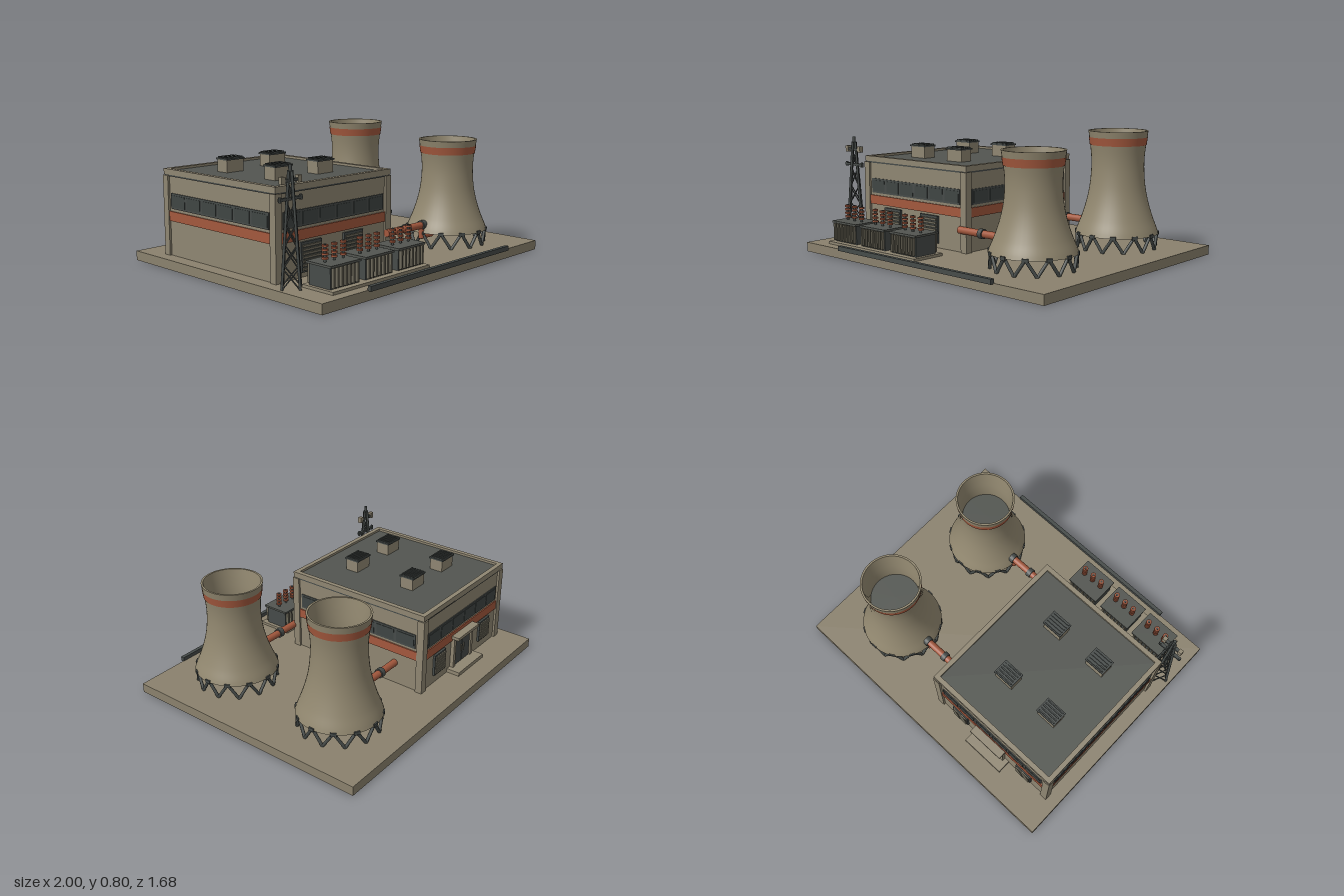
import * as THREE from 'three';

const mat = (name, color, side = THREE.FrontSide) => {
  const m = new THREE.MeshStandardMaterial({ color, side });
  m.name = name;
  return m;
};

export function createModel() {
  const ground = mat('ground concrete', 0x8a816d);
  const concrete = mat('wall concrete', 0x8f8672);
  const shellMat = mat('tower concrete', 0x91876f, THREE.DoubleSide);
  const roofMat = mat('roof grey', 0x525550);
  const steel = mat('dark steel', 0x464b49);
  const glass = mat('window glass', 0x3f4543);
  const rust = mat('rust orange', 0xa3583d, THREE.DoubleSide);
  const louvreMat = mat('louvre grey', 0x6c6859);

  const root = new THREE.Group();
  root.name = 'powerStation';
  const group = (name, parent = root, x = 0, y = 0, z = 0) => {
    const g = new THREE.Group();
    g.name = name;
    g.position.set(x, y, z);
    parent.add(g);
    return g;
  };
  const add = (name, geo, m, parent) => {
    const mesh = new THREE.Mesh(geo, m);
    mesh.name = name;
    parent.add(mesh);
    return mesh;
  };
  // Box given by its extents
  const box = (name, m, parent, x0, x1, y0, y1, z0, z1) => {
    const b = add(name, new THREE.BoxGeometry(x1 - x0, y1 - y0, z1 - z0), m, parent);
    b.position.set((x0 + x1) / 2, (y0 + y1) / 2, (z0 + z1) / 2);
    return b;
  };
  // Round bar between two points
  const bar = (name, m, parent, a, b, r, sides = 8) => {
    const p = new THREE.Vector3(...a), q = new THREE.Vector3(...b);
    const c = add(name, new THREE.CylinderGeometry(r, r, p.distanceTo(q), sides), m, parent);
    c.position.copy(p).add(q).multiplyScalar(0.5);
    c.quaternion.setFromUnitVectors(new THREE.Vector3(0, 1, 0), q.sub(p).normalize());
    return c;
  };

  // Site slab and front drain
  box('groundSlab', ground, root, -1, 1, 0, 0.06, -0.84, 0.82);
  box('frontDrain', steel, root, -0.65, 0.65, 0.055, 0.085, 0.815, 0.84);

  // Main hall
  const hall = group('turbineHall');
  const X0 = -0.91, X1 = 0.015, Z0 = -0.62, Z1 = 0.375;
  const cx = (X0 + X1) / 2, cz = (Z0 + Z1) / 2, W = X1 - X0, D = Z1 - Z0;
  box('hallWalls', concrete, hall, X0, X1, 0.06, 0.565, Z0, Z1);
  box('roofDeck', roofMat, hall, X0, X1, 0.565, 0.585, Z0, Z1);
  for (const x of [X0, X1]) for (const z of [Z0, Z1]) {
    const px = x + (x === X0 ? 0.01 : -0.01), pz = z + (z === Z0 ? 0.01 : -0.01);
    box('cornerPillar', concrete, hall, px - 0.024, px + 0.024, 0.06, 0.56, pz - 0.024, pz + 0.024);
  }
  const pw = 0.03, o = 0.01;
  for (const z of [Z0 - o, Z1 + o - pw]) box('parapet', concrete, hall, X0 - o, X1 + o, 0.565, 0.6, z, z + pw);
  for (const x of [X0 - o, X1 + o - pw]) box('parapet', concrete, hall, x, x + pw, 0.565, 0.6, Z0 + 0.02, Z1 - 0.02);
  box('parapetShadowGap', steel, hall, X0 - 0.006, X1 + 0.006, 0.555, 0.565, Z0 - 0.006, Z1 + 0.006);

  // Window strip and painted band on each wall, built facing +z
  const facades = [[W, 0, cx, Z1, 6], [W, Math.PI, cx, Z0, 6]];
  facades.push([D, Math.PI / 2, X1, cz, 6], [D, -Math.PI / 2, X0, cz, 6]);
  for (const [w, turn, x, z, panes] of facades) {
    const f = group('facade', hall, x, 0, z);
    f.rotation.y = turn;
    const h = w / 2 - 0.05, step = (2 * h) / panes;
    box('paintedBand', rust, f, -h - 0.02, h + 0.02, 0.278, 0.338, 0, 0.008);
    box('windowFrame', steel, f, -h, h, 0.355, 0.452, 0, 0.006);
    for (let i = 0; i < panes; i++) {
      const a = -h + i * step;
      box('windowPane', glass, f, a + 0.01, a + step - 0.01, 0.367, 0.44, 0.005, 0.009);
    }
  }

  // Slatted wall vents
  const louvre = (x, z, w, y0, y1, turn) => {
    const g = group('wallLouvre', hall, x, 0, z);
    g.rotation.y = turn;
    box('louvreFrame', steel, g, -w / 2, w / 2, y0, y1, 0, 0.014);
    for (let i = 0; i < 7; i++) {
      const y = y0 + 0.012 + (i * (y1 - y0 - 0.02)) / 7;
      box('louvreSlat', louvreMat, g, -w / 2 + 0.008, w / 2 - 0.008, y, y + 0.014, 0.01, 0.022);
    }
  };
  for (const x of [-0.65, -0.305]) louvre(x, Z1, 0.16, 0.09, 0.265, 0);
  for (const x of [-0.722, -0.178]) louvre(x, Z0, 0.125, 0.12, 0.265, Math.PI);

  // Rear entrance
  const door = group('rearEntrance', hall, -0.44, 0, Z0);
  box('doorStep', concrete, door, -0.15, 0.15, 0.06, 0.085, -0.09, 0);
  box('doorCanopy', concrete, door, -0.125, 0.125, 0.295, 0.315, -0.06, 0);
  for (const s of [-1, 1]) {
    box('doorJamb', concrete, door, s * 0.105 - 0.012, s * 0.105 + 0.012, 0.085, 0.295, -0.025, 0);
    box('doorLeaf', steel, door, s * 0.047 - 0.044, s * 0.047 + 0.044, 0.085, 0.29, -0.015, 0);
    box('doorHandle', louvreMat, door, s * 0.014 - 0.004, s * 0.014 + 0.004, 0.16, 0.21, -0.022, -0.014);
  }

  // Roof ventilators
  for (const x of [-0.648, -0.305]) for (const z of [-0.32, 0.11]) {
    const v = group('roofVent', hall, x, 0, z);
    box('ventBox', concrete, v, -0.065, 0.065, 0.58, 0.663, -0.045, 0.045);
    box('ventCap', steel, v, -0.07, 0.07, 0.66, 0.67, -0.052, 0.052);
    for (let i = -2; i <= 2; i++) box('ventSlat', steel, v, -0.06, 0.06, 0.668, 0.678, i * 0.02 - 0.004, i * 0.02 + 0.004);
  }

  // Cooling towers
  const curve = new THREE.CatmullRomCurve3([[0, 0.262], [0.05, 0.251], [0.15, 0.226], [0.3, 0.196], [0.45, 0.176],
    [0.62, 0.166], [0.75, 0.167], [0.88, 0.176], [1, 0.187]].map(([t, r]) => new THREE.Vector3(r, t, 0)));
  const coolingTower = (z, H) => {
    const g = group('coolingTower', root, 0.575, 0, z);
    const y0 = 0.155, pts = curve.getPoints(32).map(p => new THREE.Vector2(p.x, y0 + p.y * (H - y0)));
    const radiusAt = y => {
      const i = Math.max(1, pts.findIndex(p => p.y >= y)), a = pts[i - 1], b = pts[i];
      return a.x + ((b.x - a.x) * (y - a.y)) / (b.y - a.y);
    };
    add('towerShell', new THREE.LatheGeometry(pts, 48), shellMat, g);
    const inner = pts.map(p => new THREE.Vector2(p.x - 0.012, p.y)).reverse();
    add('towerLining', new THREE.LatheGeometry(inner, 48), shellMat, g);
    for (const [p, q] of [[pts[32], inner[0]], [inner[32], pts[0]]])
      add('towerRim', new THREE.LatheGeometry([p, q], 48), shellMat, g);
    const band = [0.088, 0.064, 0.04].map(d => new THREE.Vector2(radiusAt(H - d) + 0.003, H - d));
    add('towerBand', new THREE.LatheGeometry(band, 48), rust, g);
    const fill = add('towerFill', new THREE.CylinderGeometry(0.158, 0.158, 0.01, 48), roofMat, g);
    fill.position.y = H - 0.24;
    // Zigzag legs under the shell
    const n = 12, at = (k, r, y) => [r * Math.sin((k * Math.PI) / n), y, r * Math.cos((k * Math.PI) / n)];
    for (let k = 0; k < 2 * n; k += 2) {
      const top = at(k, 0.252, 0.16);
      for (const s of [-1, 1]) bar('towerLeg', steel, g, top, at(k + s, 0.25, 0.06), 0.01);
      const node = box('legNode', steel, g, -0.018, 0.018, 0.146, 0.168, -0.01, 0.01);
      node.position.set(...at(k, 0.255, 0.157));
      node.rotation.y = (k * Math.PI) / n;
    }
  };
  coolingTower(-0.42, 0.8);
  coolingTower(0.4, 0.74);

  // Cooling water pipes
  for (const [x, z] of [[0, -0.42], [-0.02, 0.397]]) {
    const g = group('coolingPipe', root, 0, 0, z);
    bar('pipeRun', rust, g, [x, 0.205, 0], [0.33, 0.205, 0], 0.023, 20);
    bar('pipeDrop', rust, g, [0.322, 0.215, 0], [0.322, 0.12, 0], 0.02, 16);
    bar('pipeInlet', rust, g, [0.315, 0.135, 0], [0.42, 0.135, 0], 0.02, 16);
    for (const c of [0.17, 0.326]) bar('pipeCollar', steel, g, [c - 0.016, 0.205, 0], [c + 0.016, 0.205, 0], 0.031, 20);
  }

  // Transformers on their pad
  box('transformerPad', concrete, root, -0.855, -0.045, 0.06, 0.077, 0.52, 0.755);
  for (const x of [-0.727, -0.453, -0.175]) {
    const g = group('transformer', root, x, 0, 0.635);
    box('transformerTank', steel, g, -0.107, 0.107, 0.077, 0.2, -0.08, 0.08);
    box('transformerLid', roofMat, g, -0.118, 0.118, 0.197, 0.21, -0.095, 0.095);
    for (let i = -3; i <= 3; i++) for (const s of [-1, 1])
      box('coolingFin', louvreMat, g, i * 0.031 - 0.006, i * 0.031 + 0.006, 0.085, 0.195, s * 0.088 - 0.012, s * 0.088 + 0.012);
    for (const dx of [-0.07, 0, 0.07]) {
      const b = group('bushing', g, dx, 0.21, 0.005);
      bar('bushingCore', steel, b, [0, 0, 0], [0, 0.1, 0], 0.008, 10);
      for (let i = 0; i < 4; i++) bar('bushingDisc', rust, b, [0, 0.016 + i * 0.023, 0], [0, 0.027 + i * 0.023, 0], 0.018, 14);
    }
  }

  // Lattice pylon
  const pylon = group('pylon', root, -0.905, 0, 0.49);
  const post = (k, t) => {
    const r = 0.07 - 0.058 * t, a = (k * Math.PI) / 2;
    return [r * Math.cos(a), 0.06 + 0.64 * t, r * Math.sin(a)];
  };
  for (let k = 0; k < 4; k++) {
    bar('pylonLeg', steel, pylon, post(k, 0), post(k, 1), 0.008);
    for (let i = 0; i < 5; i++) {
      const t0 = i * 0.18, t1 = t0 + 0.18;
      bar('pylonBrace', steel, pylon, post(k, t0), post(k + 1, t1), 0.004, 6);
      bar('pylonBrace', steel, pylon, post(k + 1, t0), post(k, t1), 0.004, 6);
    }
  }
  bar('pylonMast', steel, pylon, [0, 0.66, 0], [0, 0.735, 0], 0.01);
  for (const [y, r] of [[0.55, 0.082], [0.65, 0.07]]) {
    box('pylonArm', steel, pylon, -r, r, y - 0.008, y + 0.008, -0.01, 0.01);
  }
  for (const s of [-1, 1]) {
    box('armInsulator', concrete, pylon, s * 0.06 - 0.013, s * 0.06 + 0.013, 0.632, 0.672, -0.013, 0.013);
    bar('armTip', steel, pylon, [s * 0.076, 0.535, 0], [s * 0.076, 0.565, 0], 0.009);
  }
  return root;
}
